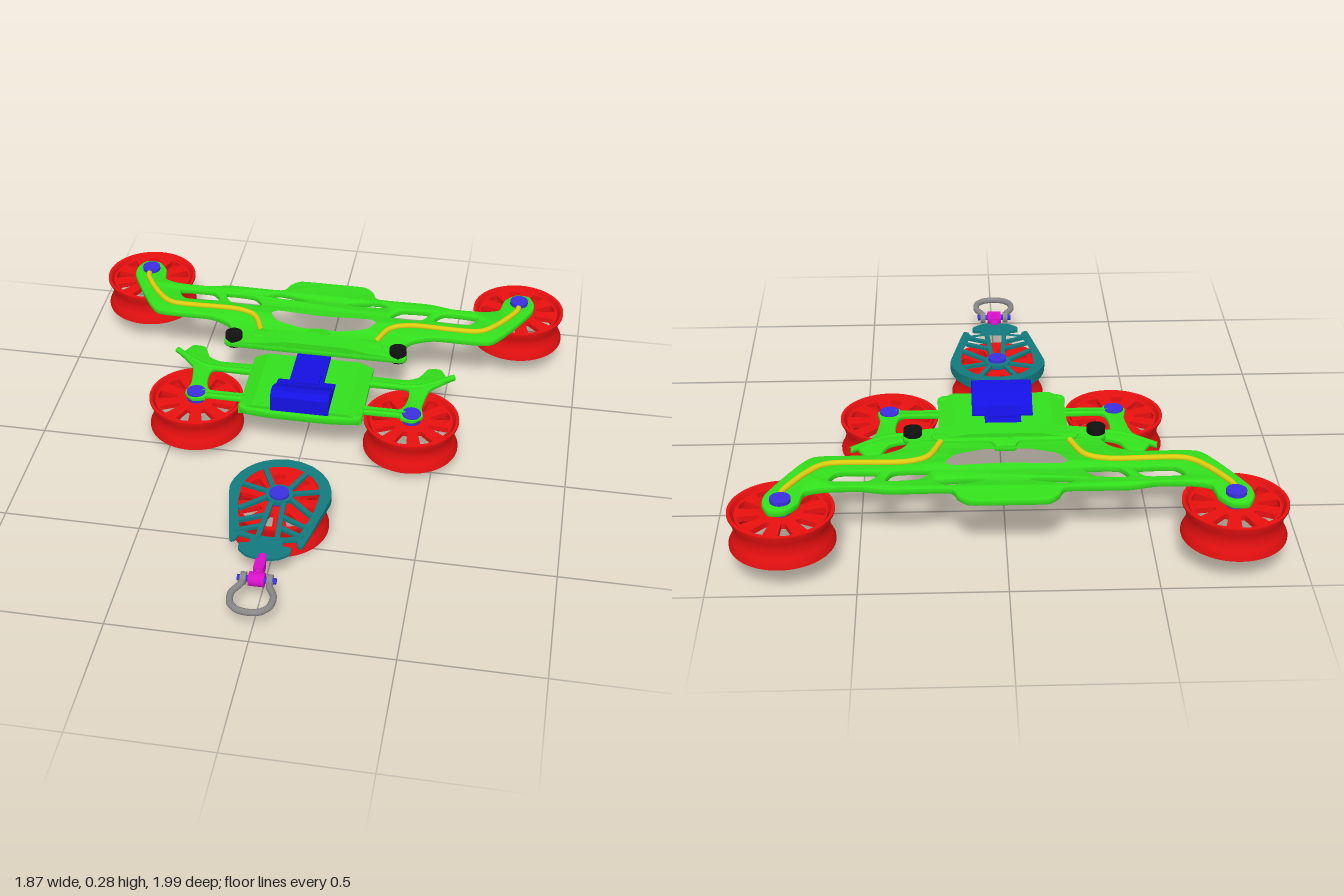
import * as THREE from 'three';
import { toCreasedNormals } from 'three/addons/utils/BufferGeometryUtils.js';

const mat = (color) => new THREE.MeshStandardMaterial({ color });
const GREEN = mat(0x33e01c), RED = mat(0xea1010), BLUE = mat(0x1410e0), HUB = mat(0x3a30e0), TEAL = mat(0x127a7e),
  PINK = mat(0xd810c8), GREY = mat(0x888888), YELLOW = mat(0xdccb10), BLACK = mat(0x111111);

const V2 = (x, y) => new THREE.Vector2(x, y);
const mirrorX = (pts) => pts.map(([x, z]) => [-x, z]).reverse();
// full symmetric loop from the +x half (first and last point on the axis)
const bothSides = (half) => [...half, ...mirrorX(half.slice(1, -1))];

function add(parent, name, geometry, material, x = 0, y = 0, z = 0) {
  const m = new THREE.Mesh(geometry, material);
  m.name = name;
  m.position.set(x, y, z);
  parent.add(m);
  return m;
}

// rounded closed loop in plan, points as [x, z]
function loop(pts, soft = 0.3) {
  const c = new THREE.CatmullRomCurve3(pts.map(([x, z]) => new THREE.Vector3(x, -z, 0)), true, 'catmullrom', soft);
  return c.getPoints(pts.length * 5).slice(0, -1).map((p) => V2(p.x, p.y));
}

// flat plate from a plan outline, lying between y and y + h
function plate(outline, holes, y, h, bevel = 0.006, soft = 0.3) {
  const shape = new THREE.Shape(loop(outline, soft));
  holes.forEach((hole) => shape.holes.push(new THREE.Path(loop(hole, soft))));
  const g = new THREE.ExtrudeGeometry(shape, {
    depth: h - 2 * bevel, bevelEnabled: true, bevelSize: bevel, bevelOffset: -bevel, bevelThickness: bevel, bevelSegments: 2,
  });
  g.rotateX(-Math.PI / 2).translate(0, y + bevel, 0);
  return toCreasedNormals(g, 0.6);
}

// prism with an [x, y] profile, running from z0 to z1
function prism(profile, z0, z1) {
  const g = new THREE.ExtrudeGeometry(new THREE.Shape(profile.map((p) => V2(...p))), { depth: z1 - z0, bevelEnabled: false });
  return g.translate(0, 0, z0);
}

function tube(pts, r, n = 48, closed = false) {
  const c = new THREE.CatmullRomCurve3(pts.map((p) => new THREE.Vector3(...p)), closed, 'catmullrom', 0.4);
  return new THREE.TubeGeometry(c, n, r, 10, closed);
}

// flat strut between two plan points
function strut(parent, name, [x0, z0], [x1, z1], w, y, h, material) {
  const g = new THREE.BoxGeometry(Math.hypot(x1 - x0, z1 - z0), h, w);
  add(parent, name, g, material, (x0 + x1) / 2, y, (z0 + z1) / 2).rotation.y = -Math.atan2(z1 - z0, x1 - x0);
}

// waisted open drum with a windowed web near the top and a hub cap
function wheel(parent, name, x, y, z, hubTop) {
  const g = new THREE.Group();
  g.name = name;
  g.position.set(x, y, z);
  const profile = [[0.168, 0], [0.179, 0], [0.179, 0.007], [0.166, 0.034], [0.16, 0.0625], [0.166, 0.091], [0.179, 0.118],
    [0.179, 0.125], [0.168, 0.125], [0.154, 0.091], [0.148, 0.0625], [0.154, 0.034], [0.168, 0]];
  add(g, 'rim', toCreasedNormals(new THREE.LatheGeometry(profile.map((p) => V2(...p)), 64), 0.6), RED);
  const web = new THREE.Shape().absarc(0, 0, 0.156, 0, Math.PI * 2);
  for (let i = 0; i < 9; i++) {
    const a = (i + 0.5) * Math.PI * 2 / 9;
    const at = (r, da) => V2(r * Math.cos(a + da), r * Math.sin(a + da));
    web.holes.push(new THREE.Path([at(0.075, -0.1), at(0.146, -0.17), at(0.149, 0), at(0.146, 0.17), at(0.075, 0.1)]));
  }
  const webGeo = new THREE.ExtrudeGeometry(web, { depth: 0.02, bevelEnabled: false, curveSegments: 32 }).rotateX(-Math.PI / 2);
  add(g, 'web', toCreasedNormals(webGeo, 0.5), RED, 0, 0.092, 0);
  add(g, 'hubCap', new THREE.CylinderGeometry(0.035, 0.035, hubTop - 0.085, 32), HUB, 0, (hubTop + 0.085) / 2, 0);
  parent.add(g);
}

function rearFrame(parent) {
  const g = new THREE.Group();
  g.name = 'rearFrame';
  const outline = bothSides([[0, -0.835], [0.13, -0.833], [0.17, -0.80], [0.20, -0.755], [0.40, -0.755], [0.50, -0.735],
    [0.62, -0.738], [0.68, -0.76], [0.695, -0.83], [0.735, -0.878], [0.79, -0.878], [0.815, -0.83], [0.81, -0.77],
    [0.74, -0.635], [0.66, -0.53], [0.45, -0.525], [0.37, -0.49], [0.335, -0.44], [0.355, -0.41], [0.35, -0.36], [0.23, -0.355], [0, -0.355]]);
  const sideHoles = [
    [[0.60, -0.69], [0.47, -0.695], [0.435, -0.64], [0.57, -0.635]],
    [[0.41, -0.695], [0.30, -0.69], [0.26, -0.635], [0.38, -0.635]],
    [[0.20, -0.73], [0.08, -0.705], [0.10, -0.69], [0.24, -0.70]],
  ];
  const centre = bothSides([[0, -0.60], [0.18, -0.61], [0.215, -0.585], [0.18, -0.53], [0.08, -0.495], [0.03, -0.495], [0, -0.50]]);
  add(g, 'framePlate', plate(outline, [centre, ...sideHoles, ...sideHoles.map(mirrorX)], 0.228, 0.024), GREEN);
  // raised saddle across the middle
  add(g, 'saddle', prism([[-0.34, 0.23], [0.34, 0.23], [0.32, 0.25], [0.2, 0.262], [0.12, 0.276],
    [-0.12, 0.276], [-0.2, 0.262], [-0.32, 0.25]], -0.435, -0.357), GREEN);
  const step = bothSides([[0, -0.49], [0.035, -0.49], [0.06, -0.455], [0.23, -0.45], [0.25, -0.40], [0, -0.40]]);
  add(g, 'saddleStep', plate(step, [], 0.235, 0.027), GREEN);
  for (const s of [-1, 1]) {
    // thicker ridge along the arm, with the cable laid on it
    const path = [[0.755, -0.81], [0.75, -0.755], [0.68, -0.645], [0.60, -0.585], [0.36, -0.585], [0.27, -0.55], [0.225, -0.45]];
    add(g, 'armRidge', tube(path.map(([x, z]) => [s * x, 0.239, z]), 0.017), GREEN);
    add(g, 'cable', tube(path.map(([x, z]) => [s * x, 0.255, z]), 0.011), YELLOW);
    add(g, 'bumper', new THREE.CylinderGeometry(0.033, 0.033, 0.05, 24), BLACK, s * 0.322, 0.25, -0.39);
  }
  parent.add(g);
}

function deck(parent) {
  const g = new THREE.Group();
  g.name = 'deck';
  add(g, 'deckBody', prism([[-0.233, 0.17], [0.233, 0.17], [0.233, 0.19], [0.18, 0.213], [-0.18, 0.213], [-0.233, 0.19]], -0.36, -0.02), GREEN);
  add(g, 'frontLip', plate(bothSides([[0, 0], [0.12, -0.002], [0.22, -0.015], [0.225, -0.05], [0, -0.05]]), [], 0.172, 0.03), GREEN);
  // wedge block: side profile [-z, y] turned to run across x
  const wedge = prism([[0.015, 0.2], [0.195, 0.2], [0.195, 0.22], [0.15, 0.23], [0.105, 0.258], [0.07, 0.275], [0.04, 0.278], [0.018, 0.262]], -0.11, 0.11);
  add(g, 'wedgeBlock', wedge.rotateY(Math.PI / 2), BLUE);
  add(g, 'centreSlide', new THREE.BoxGeometry(0.13, 0.05, 0.21), BLUE, 0, 0.203, -0.258);
  add(g, 'slideTop', new THREE.BoxGeometry(0.1, 0.02, 0.08), BLUE, 0, 0.228, -0.2);
  const arm = [[0.21, -0.32], [0.36, -0.32], [0.41, -0.345], [0.44, -0.405], [0.49, -0.41], [0.52, -0.36], [0.545, -0.365],
    [0.47, -0.285], [0.455, -0.24], [0.445, -0.16], [0.455, -0.10], [0.42, -0.065], [0.375, -0.075], [0.36, -0.09],
    [0.21, -0.09], [0.21, -0.13], [0.36, -0.13], [0.385, -0.19], [0.375, -0.265], [0.21, -0.265]];
  for (const s of [-1, 1]) {
    add(g, 'sideArm', plate(s > 0 ? arm : mirrorX(arm), [], 0.166, 0.018), GREEN);
    const rib = [[0.22, -0.275], [0.38, -0.275], [0.45, -0.30], [0.545, -0.37]];
    add(g, 'armRib', tube(rib.map(([x, z]) => [s * x, 0.18, z]), 0.012, 30), GREEN);
    strut(g, 'crossRib', [s * 0.21, -0.11], [s * 0.39, -0.11], 0.015, 0.184, 0.012, GREEN);
  }
  parent.add(g);
}

function towUnit(parent) {
  const g = new THREE.Group();
  g.name = 'towUnit';
  // teardrop outlines: an arc round the wheel centre, then a taper
  const cz = 0.38;
  const arc = (r) => Array.from({ length: 7 }, (_, i) => [r * Math.sin(i * Math.PI / 12), cz - r * Math.cos(i * Math.PI / 12)]);
  const outer = bothSides([...arc(0.184), [0.165, 0.48], [0.13, 0.645], [0.11, 0.645], [0.1, 0.62], [0.06, 0.63], [0.06, 0.655],
    [0.09, 0.66], [0.09, 0.69], [0.055, 0.72], [0, 0.73]]);
  const inner = bothSides([...arc(0.142), [0.135, 0.47], [0.105, 0.585], [0.06, 0.61], [0, 0.615]]);
  const guard = plate(outer, [inner], 0, 1, 0);
  // thin at the tow end, deep around the back of the wheel
  const p = guard.attributes.position;
  for (let i = 0; i < p.count; i++) {
    const t = THREE.MathUtils.clamp((0.6 - p.getZ(i)) / 0.4, 0, 1);
    p.setY(i, p.getY(i) > 0.5 ? 0.134 + 0.012 * t : 0.124 - 0.024 * t);
  }
  add(g, 'guard', toCreasedNormals(guard, 0.6), TEAL);
  add(g, 'hubBoss', new THREE.CylinderGeometry(0.05, 0.05, 0.015, 32), TEAL, 0, 0.133, cz + 0.005);
  for (const s of [-1, 1]) {
    const bars = [[[0.02, 0.40], [0.035, 0.63], 0.018], [[0.02, 0.37], [0.075, 0.25], 0.018], [[0.03, 0.39], [0.13, 0.48], 0.018],
      [[0.03, 0.375], [0.15, 0.34], 0.016], [[0.03, 0.5], [0.12, 0.545], 0.016], [[0.035, 0.56], [0.12, 0.60], 0.016]];
    bars.forEach(([a, b, w]) => strut(g, 'guardSpoke', [s * a[0], a[1]], [s * b[0], b[1]], w, 0.132, 0.012, TEAL));
  }
  // swivel and shackle
  add(g, 'swivelNeck', new THREE.CylinderGeometry(0.017, 0.017, 0.1, 20), PINK, 0, 0.125, 0.76).rotation.x = Math.PI / 2;
  add(g, 'swivelCollar', new THREE.BoxGeometry(0.036, 0.04, 0.05), PINK, 0, 0.125, 0.768);
  add(g, 'swivelEye', new THREE.CylinderGeometry(0.025, 0.025, 0.055, 20), PINK, 0, 0.117, 0.818).rotation.z = Math.PI / 2;
  add(g, 'shacklePin', new THREE.CylinderGeometry(0.011, 0.011, 0.135, 16), HUB, 0, 0.117, 0.818).rotation.z = Math.PI / 2;
  const bow = [[0.046, 0.81], [0.05, 0.85], [0.072, 0.895], [0.068, 0.945], [0.04, 0.975], [0, 0.983]];
  const full = [...bow, ...mirrorX(bow.slice(0, -1))];
  add(g, 'shackleBow', tube(full.map(([x, z]) => [x, 0.118, z]), 0.012, 60), GREY);
  for (const s of [-1, 1])
    add(g, 'shackleEar', new THREE.CylinderGeometry(0.022, 0.022, 0.02, 20), GREY, s * 0.046, 0.117, 0.818).rotation.z = Math.PI / 2;
  wheel(g, 'frontWheel', 0, 0, 0.39, 0.152);
  parent.add(g);
}

export function createModel() {
  const model = new THREE.Group();
  model.name = 'wheeledTrolley';
  const body = new THREE.Group();
  body.name = 'trolley';
  body.position.x = -0.005;
  model.add(body);
  rearFrame(body);
  deck(body);
  towUnit(body);
  for (const s of [-1, 1]) {
    wheel(body, 'middleWheel', s * 0.412, 0.042, -0.105, 0.148);
    wheel(body, 'rearWheel', s * 0.755, 0.098, -0.818, 0.168);
  }
  return model;
}
